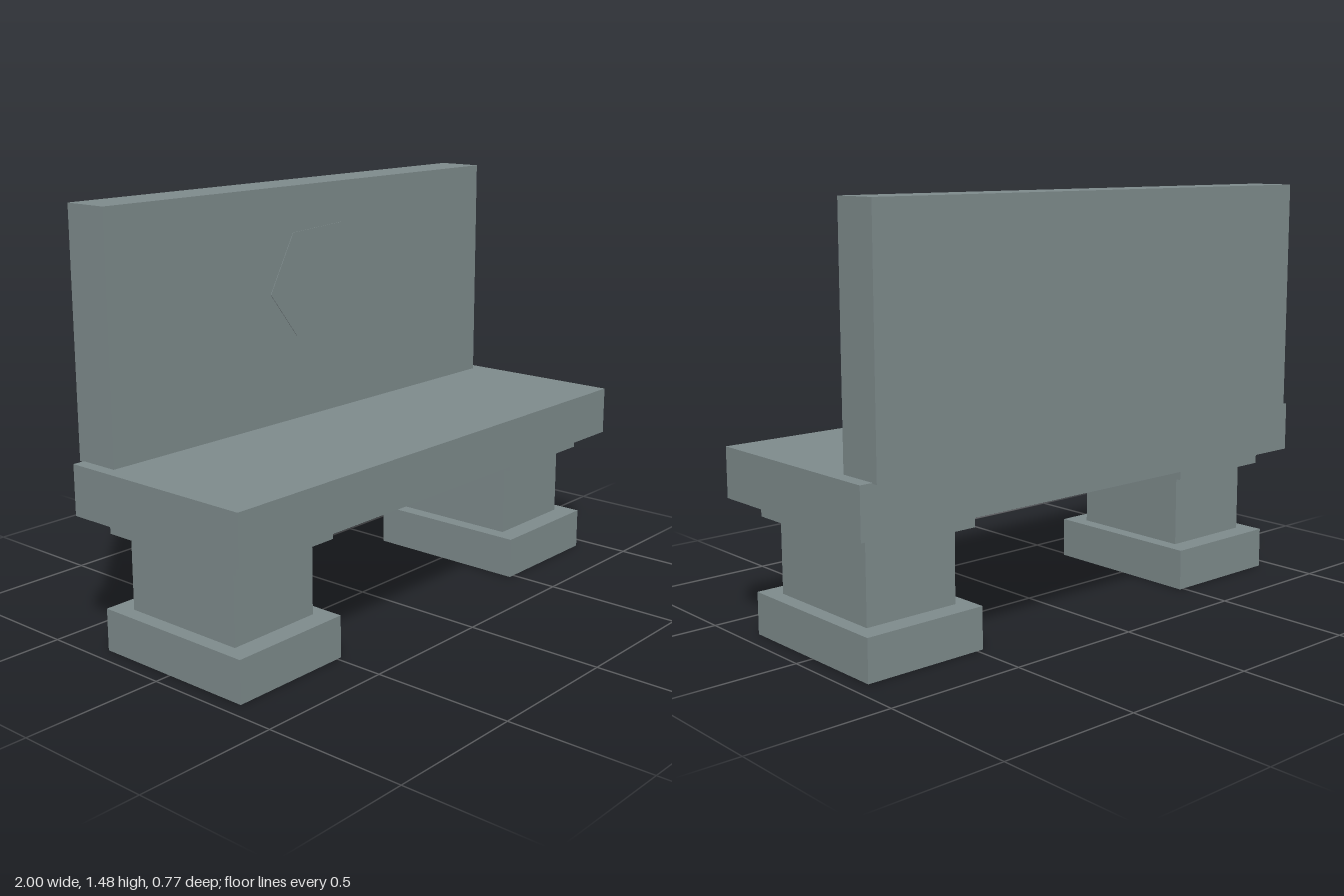
import * as THREE from 'three';

export function createModel() {
  const bench = new THREE.Group();
  bench.name = 'bench';
  const stone = new THREE.MeshStandardMaterial({ color: 0x7f8c8d });
  stone.name = 'greyStone';

  // Box given by its centre in x and its extents in y and z
  function block(parent, name, x, width, [y0, y1], [z0, z1]) {
    const mesh = new THREE.Mesh(new THREE.BoxGeometry(width, y1 - y0, z1 - z0), stone);
    mesh.position.set(x, (y0 + y1) / 2, (z0 + z1) / 2);
    mesh.name = name;
    parent.add(mesh);
  }

  // Seat slab and upright back slab
  block(bench, 'seat', 0, 2, [0.47, 0.645], [-0.365, 0.385]);
  block(bench, 'backrest', -0.002, 1.91, [0.642, 1.478], [-0.385, -0.217]);

  // Two stepped pedestals: foot, column and cap
  for (const [side, x] of [['left', 0.707], ['right', -0.713]]) {
    const pedestal = new THREE.Group();
    pedestal.name = side + 'Pedestal';
    block(pedestal, side + 'Foot', x, 0.46, [0, 0.148], [-0.3, 0.322]);
    block(pedestal, side + 'Column', x, 0.355, [0.148, 0.41], [-0.225, 0.247]);
    block(pedestal, side + 'Cap', x, 0.435, [0.41, 0.47], [-0.28, 0.302]);
    bench.add(pedestal);
  }

  // Nearly flush chevron inlay on the front of the backrest
  const outline = [[-0.235, 1.11], [-0.105, 0.945], [0.125, 1.0], [0, 1.175], [0.14, 1.33], [-0.12, 1.315]];
  const shape = new THREE.Shape(outline.map(([x, y]) => new THREE.Vector2(x, y)));
  const inlay = new THREE.Mesh(
    new THREE.ExtrudeGeometry(shape, { depth: 0.003, bevelEnabled: false }), stone);
  inlay.position.z = -0.218;
  inlay.name = 'chevronInlay';
  bench.add(inlay);

  return bench;
}
